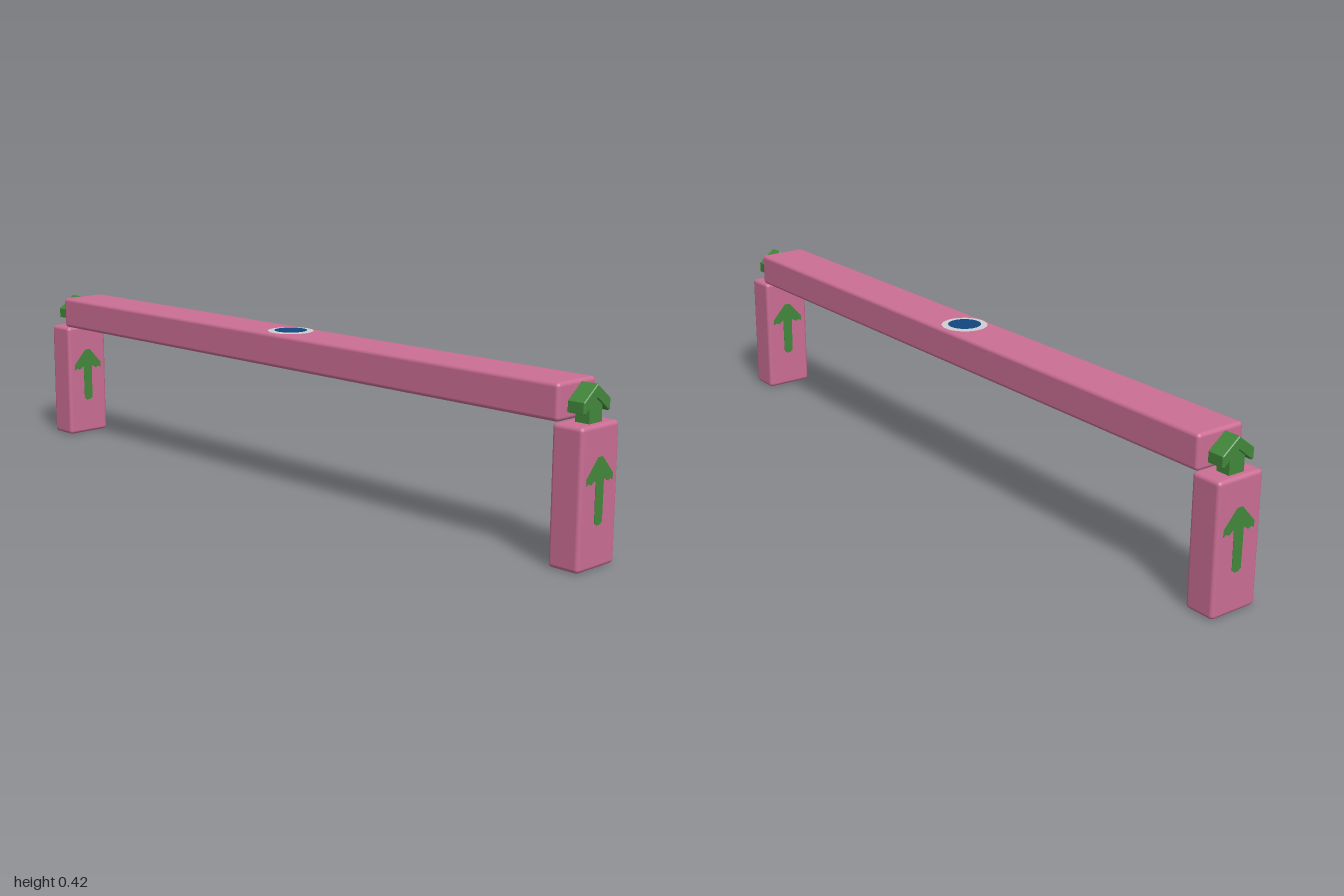
import * as THREE from 'three';
import { RoundedBoxGeometry } from 'three/addons/geometries/RoundedBoxGeometry.js';

const material = (name, color) => {
  const m = new THREE.MeshStandardMaterial({ color });
  m.name = name;
  return m;
};

// Symmetric outline from its right-hand half, listed top to bottom
const mirroredShape = (half) => {
  const left = half.filter(([z]) => z > 0).reverse().map(([z, y]) => [-z, y]);
  return new THREE.Shape([...half, ...left].map(([z, y]) => new THREE.Vector2(z, y)));
};

// Extrude an outline drawn in z/y along x, centred on x = 0
const extrudeAcross = (shape, width, bevel) => {
  const depth = width - 2 * bevel;
  const g = new THREE.ExtrudeGeometry(shape, {
    depth, bevelEnabled: bevel > 0, bevelThickness: bevel,
    bevelSize: bevel, bevelOffset: -bevel, bevelSegments: 1,
  });
  return g.translate(0, 0, -depth / 2).rotateY(Math.PI / 2);
};

export function createModel() {
  const group = new THREE.Group();
  group.name = 'balanceBeam';
  const pink = material('pink padding', 0xcb6e94);
  const green = material('green', 0x43883c);
  const blue = material('blue', 0x12477f);
  const grey = material('light grey', 0xcfcfd0);

  const add = (name, geometry, mat, x, y, z = 0) => {
    const mesh = new THREE.Mesh(geometry, mat);
    mesh.name = name;
    mesh.position.set(x, y, z);
    group.add(mesh);
    return mesh;
  };

  // Long padded beam
  add('beam', new RoundedBoxGeometry(1.862, 0.088, 0.138, 3, 0.01), pink, 0, 0.379);

  // Round target painted on top
  const disc = (r) => new THREE.CircleGeometry(r, 40).rotateX(-Math.PI / 2);
  add('targetRing', disc(0.06), grey, 0, 0.424);
  add('targetCentre', disc(0.043), blue, 0, 0.4255);

  // Shared leg and arrow geometries
  const legGeometry = new RoundedBoxGeometry(0.084, 0.331, 0.136, 3, 0.01);
  const chevron = extrudeAcross(mirroredShape([
    [0, 0.421], [0.048, 0.384], [0.048, 0.358], [0.042, 0.356], [0, 0.389],
  ]), 0.046, 0.002);
  const stem = extrudeAcross(mirroredShape([
    [0, 0.4], [0.023, 0.385], [0.023, 0.33], [0, 0.33],
  ]), 0.038, 0);
  const paint = extrudeAcross(mirroredShape([
    [0.008, 0.26], [0.048, 0.216], [0.047, 0.2], [0.038, 0.205], [0.031, 0.2],
    [0.015, 0.21], [0.014, 0.11], [0.005, 0.104],
  ]), 0.002, 0);

  for (const [side, s] of [['left', 1], ['right', -1]]) {
    add(side + 'Leg', legGeometry, pink, s * 0.957, 0.1675);
    // Raised arrow standing on the leg
    add(side + 'ArrowHead', chevron, green, s * 0.963, 0);
    add(side + 'ArrowStem', stem, green, s * 0.963, 0);
    // Painted arrows on the outer and inner faces
    add(side + 'OuterPaintedArrow', paint, green, s * 0.999, 0);
    add(side + 'InnerPaintedArrow', paint, green, s * 0.915, 0);
  }
  return group;
}
